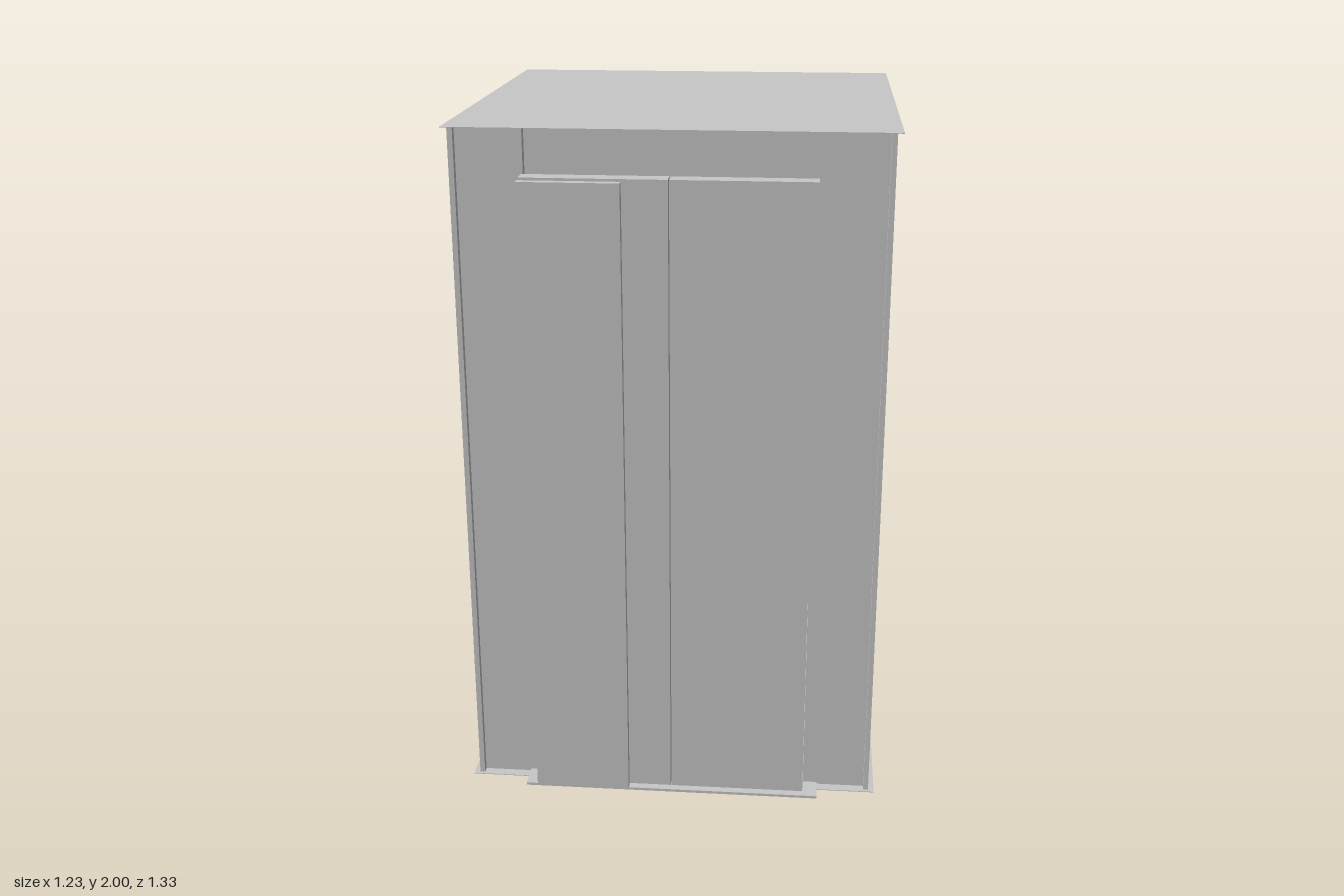
import * as THREE from 'three';

export function createModel() {
  const group = new THREE.Group();
  const steel = new THREE.MeshStandardMaterial({ color: 0xc8c8c8 });
  steel.name = 'lightGreySteel';

  // Panel given by its extents along each axis
  function panel(name, [x0, x1], [y0, y1], [z0, z1]) {
    const geometry = new THREE.BoxGeometry(x1 - x0, y1 - y0, z1 - z0);
    const mesh = new THREE.Mesh(geometry, steel);
    mesh.name = name;
    mesh.position.set((x0 + x1) / 2, (y0 + y1) / 2, (z0 + z1) / 2);
    group.add(mesh);
  }

  const H = 2, sheet = 0.002;
  const inside = [sheet, H - sheet];

  // Thin floor and roof sheets overhanging the cabin walls
  panel('floor', [-0.617, 0.617], [0, sheet], [-0.667, 0.61]);
  panel('roof', [-0.617, 0.617], [H - sheet, H], [-0.667, 0.61]);

  // Cabin shell
  panel('backWall', [-0.585, 0.585], inside, [-0.645, -0.63]);
  for (const [side, s] of [['left', 1], ['right', -1]]) {
    const span = (a, b) => (s > 0 ? [a, b] : [-b, -a]);
    panel(side + 'Wall', span(0.585, 0.6), inside, [-0.645, 0.6]);
    // Front panel set back between the side wall and the doorway
    panel(side + 'FrontPanel', span(0.401, 0.585), inside, [0.565, 0.58]);
    // Sliding cabin door, with a narrow gap at the middle
    panel(side + 'Door', span(0.0015, s > 0 ? 0.4 : 0.405), [0.009, 1.872], [0.583, 0.635]);
  }
  panel('transom', [-0.4, 0.4], [1.868, inside[1]], [0.545, 0.56]);

  // Outer door leaf and the sill under the doors
  panel('outerDoor', [-0.407, -0.127], [0.009, 1.866], [0.641, 0.666]);
  panel('sill', [-0.443, 0.443], [0, 0.008], [0.58, 0.657]);

  return group;
}
